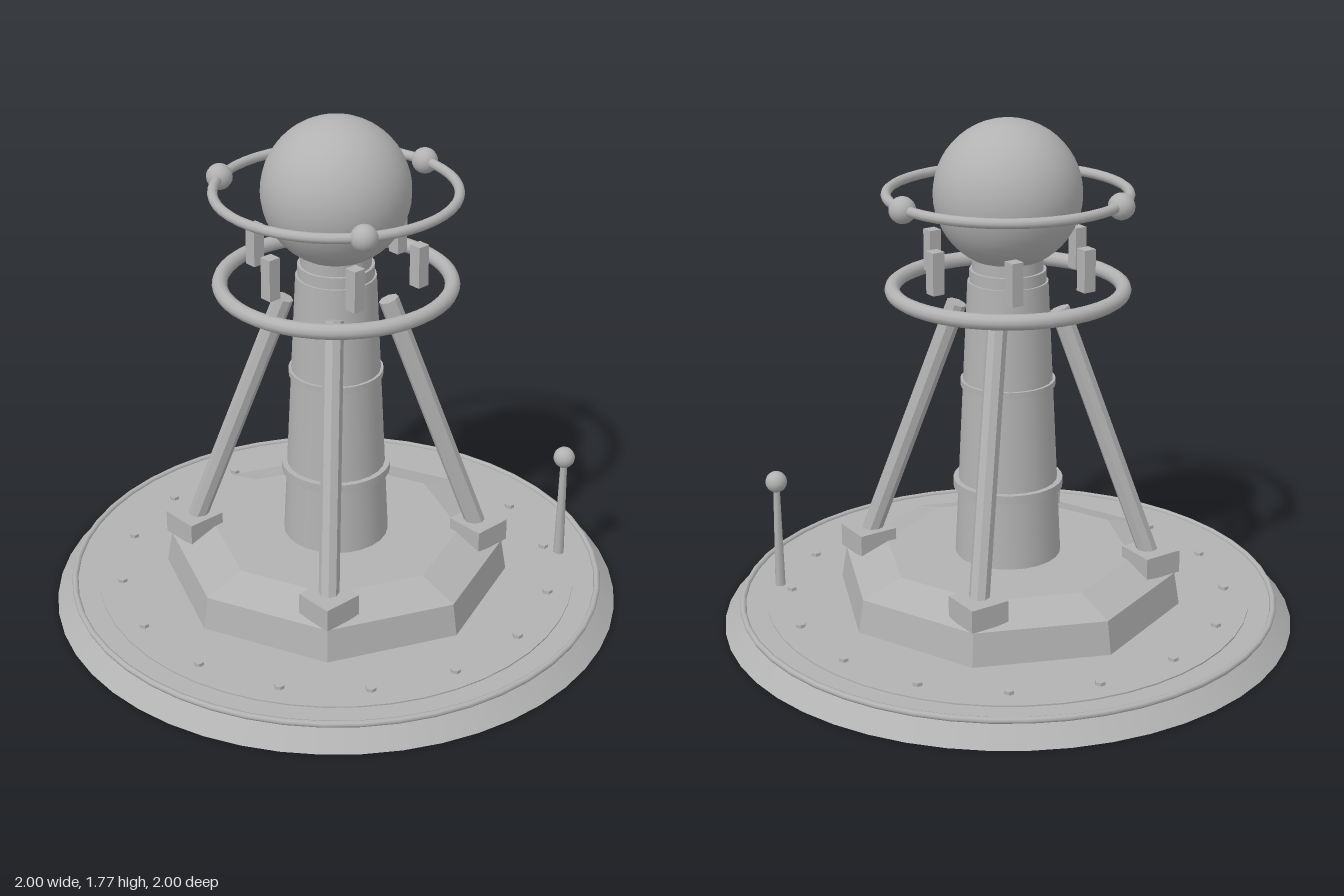
import * as THREE from 'three';

const grey = new THREE.MeshStandardMaterial({ color: 0xb2b2b2 });
grey.name = 'grey';

export function createModel() {
  const model = new THREE.Group();
  model.name = 'beaconTower';

  const add = (name, geometry, x = 0, y = 0, z = 0) => {
    const mesh = new THREE.Mesh(geometry, grey);
    mesh.name = name;
    mesh.position.set(x, y, z);
    model.add(mesh);
    return mesh;
  };
  // Upright tapered cylinder between two heights
  const drum = (name, y0, y1, r0, r1, sides = 32, x = 0, z = 0) =>
    add(name, new THREE.CylinderGeometry(r1, r0, y1 - y0, sides), x, (y0 + y1) / 2, z);
  const flat = (mesh) => {
    mesh.geometry = mesh.geometry.toNonIndexed();
    mesh.geometry.computeVertexNormals();
    return mesh;
  };
  const hoop = (name, y, radius, tube, sides = 10) => {
    const geometry = new THREE.TorusGeometry(radius, tube, sides, 48);
    geometry.rotateX(Math.PI / 2);
    return add(name, geometry, 0, y, 0);
  };
  const ball = (name, r, x, y, z, sides = 16) =>
    add(name, new THREE.SphereGeometry(r, sides, Math.ceil(sides * 0.7)), x, y, z);

  // Round base with a raised lip and an inner deck
  drum('base', 0, 0.07, 1, 0.93, 48);
  hoop('baseLip', 0.07, 0.935, 0.011, 8);
  drum('deck', 0.06, 0.075, 0.85, 0.85, 48);

  // Ring of hexagonal bolts
  for (let i = 0; i < 16; i++) {
    const a = (i + 0.5) * Math.PI / 8;
    const bolt = drum('bolt', 0.07, 0.087, 0.018, 0.018, 6, 0.767 * Math.cos(a), 0.767 * Math.sin(a));
    bolt.rotation.y = Math.PI / 6;
    flat(bolt);
  }

  // Octagonal plinth with a shallow sloped top
  flat(drum('plinth', 0.07, 0.19, 0.61, 0.59, 8));
  flat(drum('plinthTop', 0.19, 0.235, 0.59, 0.44, 8));

  // Tapered column with bands and a stepped neck
  drum('column', 0.23, 1.22, 0.185, 0.137, 24);
  drum('lowerBand', 0.48, 0.51, 0.19, 0.19);
  drum('upperBand', 0.85, 0.872, 0.163, 0.163);
  drum('collar', 1.21, 1.26, 0.13, 0.13);
  drum('neck', 1.26, 1.32, 0.12, 0.12);
  ball('globe', 0.25, 0, 1.518, 0, 36);

  // Four braces standing on square feet
  const up = new THREE.Vector3(0, 1, 0);
  for (const sx of [-1, 1]) for (const sz of [-1, 1]) {
    add('foot', new THREE.BoxGeometry(0.142, 0.08, 0.142), sx * 0.358, 0.237, sz * 0.358);
    const low = new THREE.Vector3(sx * 0.357, 0.24, sz * 0.357);
    const high = new THREE.Vector3(sx * 0.125, 1.13, sz * 0.125);
    const span = high.clone().sub(low);
    const brace = add('brace', new THREE.CylinderGeometry(0.035, 0.035, span.length(), 8));
    brace.position.copy(low).add(high).multiplyScalar(0.5);
    brace.quaternion.setFromUnitVectors(up, span.normalize());
    flat(brace);
  }

  // Two hoops, the upper one carrying three balls
  hoop('lowerHoop', 1.192, 0.39, 0.026);
  hoop('upperHoop', 1.519, 0.405, 0.017);
  for (let i = 0; i < 3; i++) {
    const a = i * Math.PI * 2 / 3;
    ball('hoopBall', 0.045, 0.408 * Math.cos(a), 1.518, 0.408 * Math.sin(a));
  }

  // Six square posts around the neck
  for (let i = 0; i < 6; i++) {
    const a = i * Math.PI / 3;
    add('post', new THREE.BoxGeometry(0.044, 0.145, 0.044), 0.287 * Math.cos(a), 1.29, 0.287 * Math.sin(a));
  }

  // Antenna on the base
  drum('antennaPole', 0.07, 0.45, 0.019, 0.012, 8, 0.652, 0.488);
  ball('antennaBall', 0.038, 0.652, 0.47, 0.488);

  return model;
}
